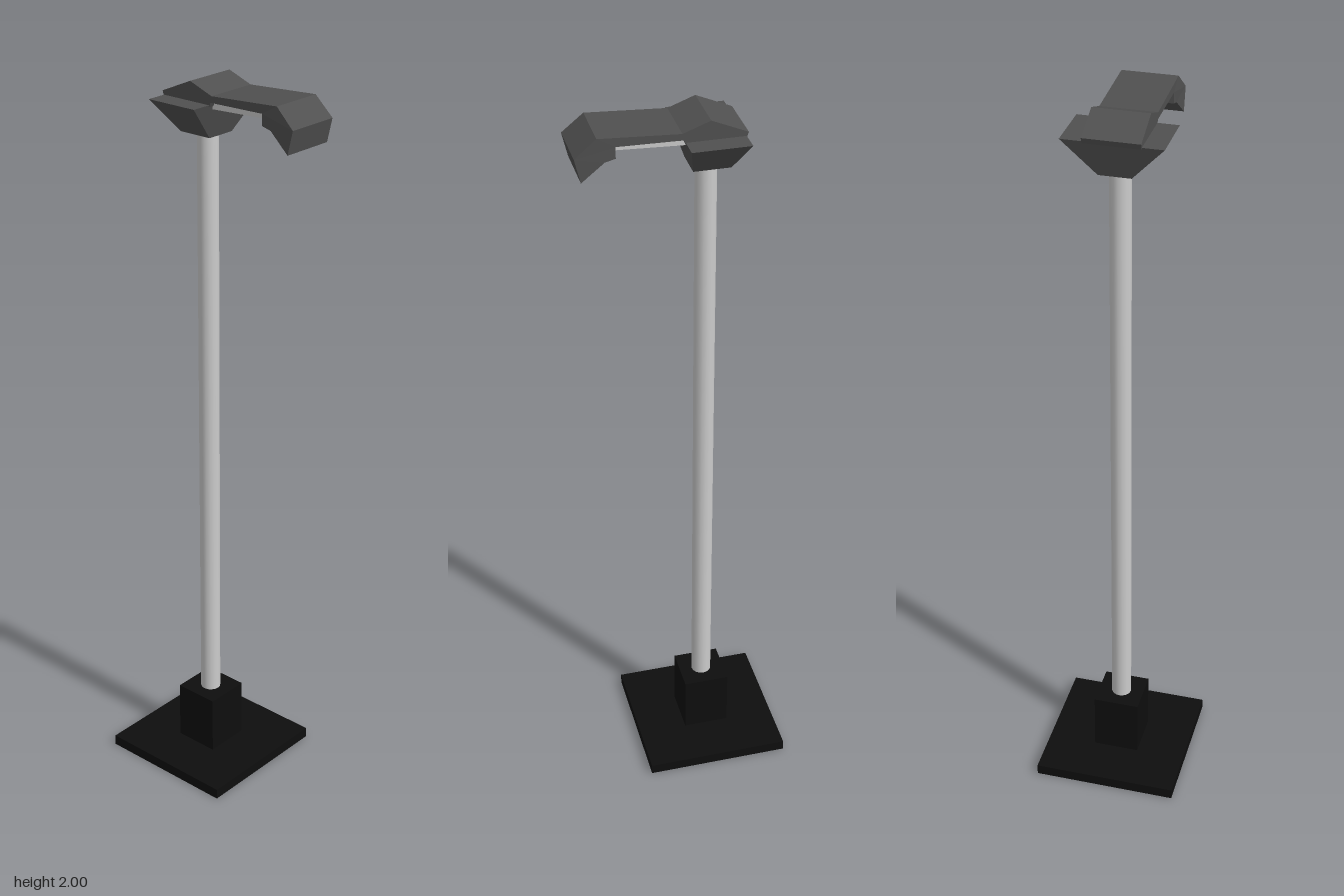
import * as THREE from 'three';

const AXIS_Z = -0.07; // the pole stands behind the centre

const paint = (color) => new THREE.MeshStandardMaterial({ color, flatShading: true });

function add(group, name, geometry, material, x, y, z) {
  const mesh = new THREE.Mesh(geometry, material);
  mesh.name = name;
  mesh.position.set(x, y, z);
  group.add(mesh);
  return mesh;
}

// Extrudes a [z, y] side profile across x, centred on x = 0
function sideExtrude(profile, width) {
  const shape = new THREE.Shape(profile.map(([z, y]) => new THREE.Vector2(z, y)));
  const geometry = new THREE.ExtrudeGeometry(shape, { depth: width, bevelEnabled: false });
  return geometry.rotateY(-Math.PI / 2).translate(width / 2, 0, 0);
}

export function createModel() {
  const group = new THREE.Group();
  const black = paint(0x0e0e0e);
  const dark = paint(0x505050);
  const grey = new THREE.MeshStandardMaterial({ color: 0xcccccc });

  // Foot plate, socket and pole
  add(group, 'basePlate', new THREE.BoxGeometry(0.4, 0.03, 0.4), black, 0, 0.015, AXIS_Z);
  add(group, 'baseSocket', new THREE.BoxGeometry(0.128, 0.17, 0.128), black, 0, 0.113, AXIS_Z);
  add(group, 'pole', new THREE.CylinderGeometry(0.028, 0.028, 1.68, 16), grey, 0, 1.03, AXIS_Z);

  // Bracket: a box tapered towards the pole
  const bracket = new THREE.BoxGeometry(0.258, 0.095, 0.15);
  const p = bracket.attributes.position;
  for (let i = 0; i < p.count; i++) {
    if (p.getY(i) < 0) {
      p.setX(i, Math.sign(p.getX(i)) * 0.042);
      p.setZ(i, Math.sign(p.getZ(i)) * 0.048);
    }
  }
  bracket.computeVertexNormals();
  add(group, 'headBracket', bracket, dark, 0, 1.9025, -0.075);

  // Lamp head: hump over the bracket, flat arm and drooping tip
  const head = sideExtrude([
    [-0.155, 1.96], [-0.15, 1.945], [0, 1.945], [0.005, 1.957], [0.17, 1.96],
    [0.17, 1.93], [0.197, 1.923], [0.255, 1.875], [0.27, 1.938],
    [0.215, 1.986], [0.008, 1.974], [-0.062, 2],
  ], 0.147);
  const h = head.attributes.position;
  for (let i = 0; i < h.count; i++) {
    if (h.getZ(i) > 0.25) h.setX(i, h.getX(i) - (h.getX(i) < 0 ? 0.006 : 0.002));
  }
  head.computeVertexNormals();
  add(group, 'lampHead', head, dark, 0, 0, 0);

  // Light panel under the arm
  const panel = sideExtrude([[-0.01, 1.936], [0.172, 1.944], [0.172, 1.961], [-0.01, 1.959]], 0.115);
  add(group, 'lightPanel', panel, grey, 0, 0, 0);

  return group;
}
